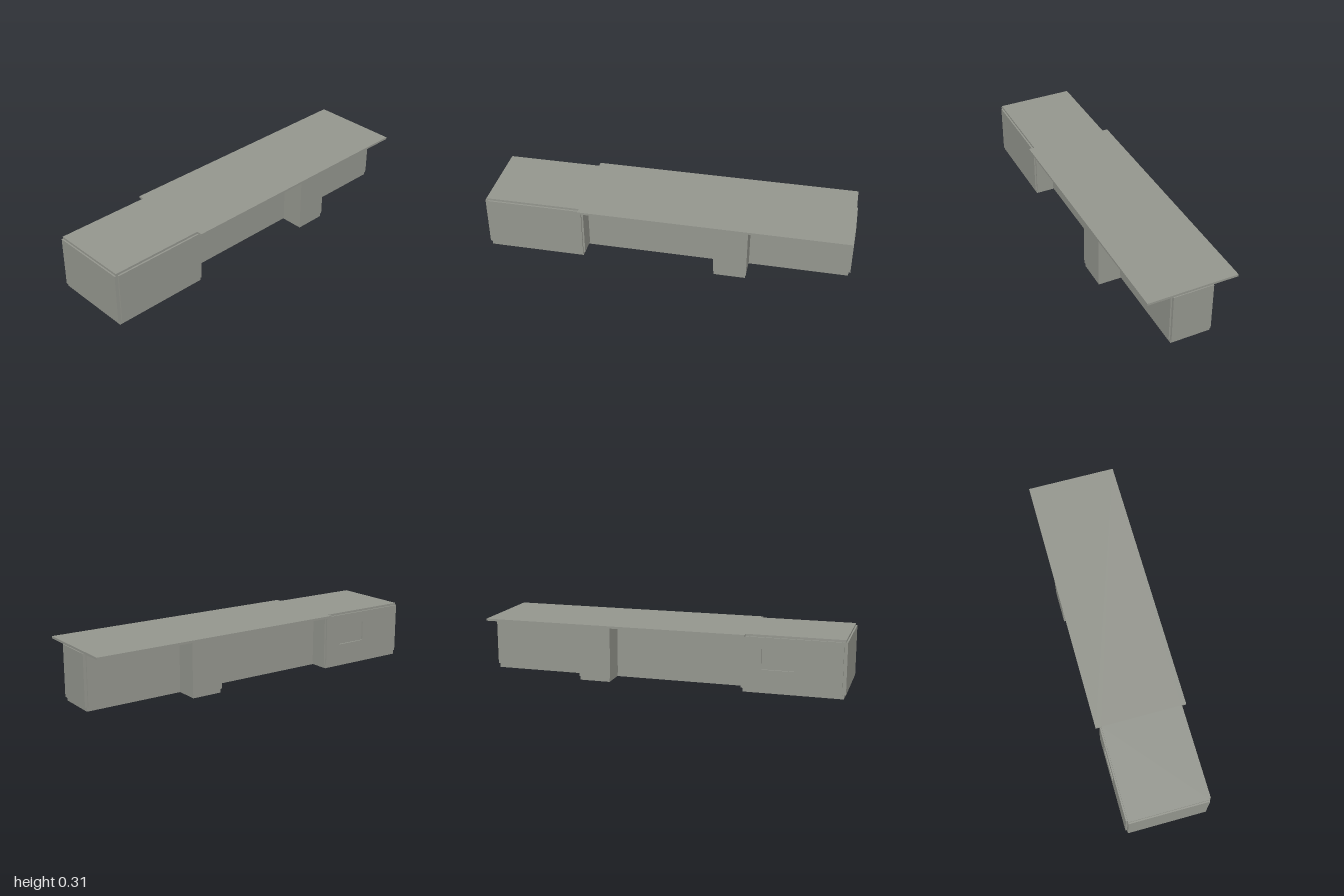
import * as THREE from 'three';

const TOP = 0.3;      // underside of the worktop
const KICK = 0.022;   // bottom of the cladding panels

// Extrude a footprint, mirrored in x, given as [x, z] points of its +x half from front to back
function footprint(half, y0, y1) {
  const all = [...half, ...half.map(([x, z]) => [-x, z]).reverse()];
  const shape = new THREE.Shape(all.map(([x, z]) => new THREE.Vector2(x, -z)));
  const geo = new THREE.ExtrudeGeometry(shape, { depth: y1 - y0, bevelEnabled: false });
  return geo.rotateX(-Math.PI / 2).translate(0, y0, 0);
}

export function createModel() {
  const group = new THREE.Group();
  const grey = new THREE.MeshStandardMaterial({ color: 0x94968e });
  grey.name = 'warm grey';

  const add = (name, geo) => {
    const mesh = new THREE.Mesh(geo, grey);
    mesh.name = name;
    group.add(mesh);
  };
  // Box from its limits
  const block = (name, x0, x1, z0, z1, y0 = KICK, y1 = TOP) => {
    const geo = new THREE.BoxGeometry(x1 - x0, y1 - y0, z1 - z0);
    add(name, geo.translate((x0 + x1) / 2, (y0 + y1) / 2, (z0 + z1) / 2));
  };

  // Carcass: wide cabinet, narrow spine and two side piers, down to the floor
  add('carcass', footprint([
    [0.217, 0.99], [0.217, 0.46], [0.11, 0.46], [0.11, -0.275], [0.239, -0.275],
    [0.239, -0.445], [0.11, -0.445], [0.11, -0.99],
  ], 0, TOP));

  // Worktop, wider over the spine
  add('worktop', footprint([
    [0.217, 0.992], [0.217, 0.472], [0.248, 0.472], [0.248, -0.995],
  ], TOP, 0.312));

  // End panels
  block('frontPanel', -0.217, 0.217, 0.99, 1);
  block('rearPanel', -0.11, 0.11, -1, -0.99);

  // Panels repeated on both sides
  for (const s of [1, -1]) {
    const side = s > 0 ? 'left' : 'right';
    const mirrored = (name, a, b, z0, z1) =>
      block(side + name, Math.min(s * a, s * b), Math.max(s * a, s * b), z0, z1);
    mirrored('CabinetBackPanel', 0.118, 0.217, 0.45, 0.46);
    mirrored('SpinePanel', 0.11, 0.118, -0.27, 0.45);
    mirrored('RearSpinePanel', 0.11, 0.118, -0.985, -0.45);
    mirrored('PierCladding', 0.11, 0.243, -0.45, -0.27);
  }

  // Cabinet side panels, the one on -x with a rectangular opening
  block('leftCabinetPanel', 0.217, 0.226, 0.46, 0.982);
  const panel = new THREE.Shape([[0.46, KICK], [0.982, KICK], [0.982, TOP], [0.46, TOP]]
    .map(([z, y]) => new THREE.Vector2(z, y)));
  panel.holes.push(new THREE.Path([[0.557, 0.128], [0.557, 0.238], [0.73, 0.238], [0.73, 0.128]]
    .map(([z, y]) => new THREE.Vector2(z, y))));
  add('rightCabinetPanel', new THREE.ExtrudeGeometry(panel, { depth: 0.009, bevelEnabled: false })
    .rotateY(-Math.PI / 2).translate(-0.217, 0, 0));

  return group;
}
